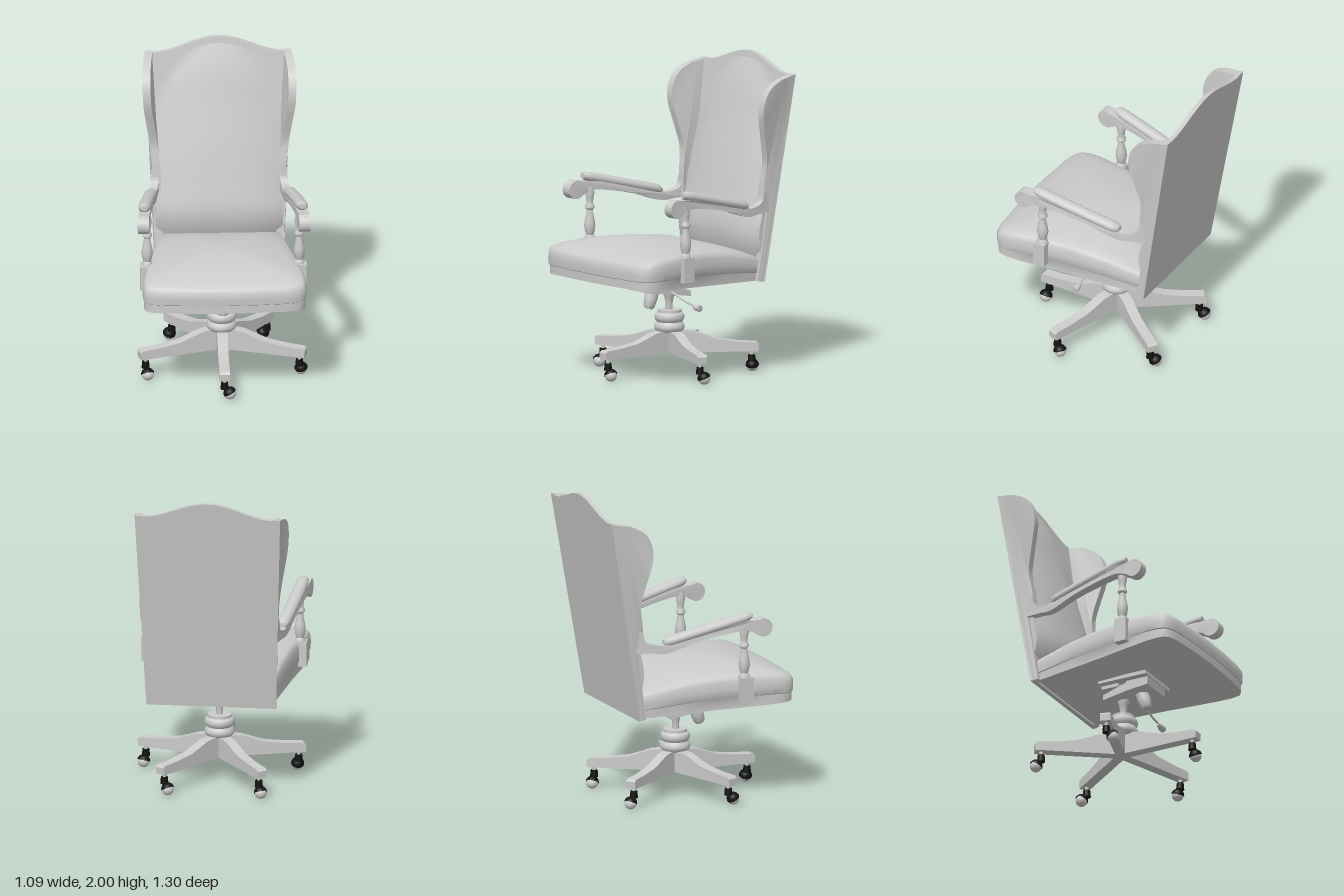
import * as THREE from 'three';
import { toCreasedNormals } from 'three/addons/utils/BufferGeometryUtils.js';

const grey = new THREE.MeshStandardMaterial({ color: 0xcccccc, side: THREE.DoubleSide });
const black = new THREE.MeshStandardMaterial({ color: 0x111111, side: THREE.DoubleSide });
const lerp = THREE.MathUtils.lerp;
const smooth = THREE.MathUtils.smoothstep;

function add(parent, name, geo, mat = grey, x = 0, y = 0, z = 0) {
  const mesh = new THREE.Mesh(geo, mat);
  mesh.name = name;
  mesh.position.set(x, y, z);
  parent.add(mesh);
  return mesh;
}

// Move every vertex by a rule, then rebuild normals
function warp(geo, rule, crease = 0.6) {
  const p = geo.attributes.position, v = new THREE.Vector3();
  for (let i = 0; i < p.count; i++) {
    v.fromBufferAttribute(p, i);
    p.setXYZ(i, ...rule(v));
  }
  return toCreasedNormals(geo, crease);
}

// Skin a list of equally long rows of points
function loft(rows, closed, crease) {
  const n = rows[0].length, idx = [];
  for (let i = 0; i < rows.length - 1; i++) {
    for (let j = 0; j < (closed ? n : n - 1); j++) {
      const k = (j + 1) % n, a = i * n + j, b = i * n + k;
      idx.push(a, b, b + n, a, b + n, a + n);
    }
  }
  const geo = new THREE.BufferGeometry();
  geo.setAttribute('position', new THREE.Float32BufferAttribute(rows.flat(2), 3));
  geo.setIndex(idx);
  return toCreasedNormals(geo, crease);
}

const vecs = pts => pts.map(p => new THREE.Vector2(...p));
const lathe = (pts, n = 24) => toCreasedNormals(new THREE.LatheGeometry(vecs(pts), n), 0.7);
const extrude = (shape, depth) => new THREE.ExtrudeGeometry(shape, { depth, bevelEnabled: false, curveSegments: 20 });

// Shared rules: leaning back plane, arched top, bowed arms
const backZ = y => -0.43 - (y - 0.6) * 0.16;
const archY = x => Math.abs(x) > 0.42 ? 1.9 : 1.9 + 0.05 * (1 + Math.cos(Math.PI * x / 0.42));
const armX = z => 0.467 + 0.125 * z - 0.06 * z * z;

function seatGeometry() {
  const half = [[0, -0.4], [0.2, -0.4], [0.385, -0.4], [0.42, -0.15], [0.455, 0.1], [0.49, 0.3], [0.513, 0.45],
    [0.518, 0.53], [0.507, 0.585], [0.47, 0.615], [0.4, 0.63], [0.2, 0.645], [0, 0.65]];
  const outline = [...half.map(([x, z]) => [-x, z]), ...half.slice(1, -1).reverse()];
  // [plan scale, height fraction]
  const rings = [[0, 0], [0.985, 0], [0.985, 0.33], [0.995, 0.36], [1, 0.6], [0.995, 0.85], [0.97, 0.97],
    [0.94, 1], [0.82, 1], [0.65, 1], [0.45, 1], [0.22, 1], [0, 1]];
  return loft(rings.map(([s, t]) => outline.map(([x, z]) => {
    const pz = 0.13 + (z - 0.13) * s;
    const bottom = 0.6 + 0.045 * (pz + 0.4) / 1.05;
    const top = 0.832 - 0.2 * (pz - 0.25) ** 2 + 0.06 * (1 - s * s);
    return [x * s, lerp(bottom, top, t), pz];
  })), true, 0.7);
}

function backCushionGeometry() {
  const profile = new THREE.SplineCurve(vecs([[0.68, -0.4], [0.8, -0.35], [0.93, -0.335], [1.1, -0.37],
    [1.35, -0.43], [1.6, -0.5], [1.8, -0.555], [1.96, -0.615]]));
  const rows = [];
  for (let i = 0; i <= 24; i++) {
    const c = profile.getPoint(i / 24), f = (c.x - 0.68) / 1.28, row = [];
    const half = 0.4 + 0.02 * f;
    for (let j = -11; j <= 11; j++) {
      const u = Math.max(-1, Math.min(1, j / 10)), x = u * half;
      const y = lerp(0.68, archY(x) - 0.04, f);
      const face = Math.max(c.y - 0.055 * Math.abs(u) ** 3, backZ(y) + 0.03);
      row.push([x, y, Math.abs(j) === 11 ? backZ(y) + 0.01 : face]);
    }
    rows.push(row);
  }
  return loft(rows, false, 0.7);
}

function backPanelGeometry() {
  const pts = [[-0.41, 0.595], [0.41, 0.595]];
  for (let i = 12; i >= -12; i--) pts.push([0.46 * i / 12, archY(0.46 * i / 12)]);
  return warp(extrude(new THREE.Shape(vecs(pts)), 0.03), v => [v.x, v.y, v.z + backZ(v.y)], 0.4);
}

function wingGeometry() {
  const s = new THREE.Shape();
  s.moveTo(backZ(0.595), 0.595);
  s.lineTo(-0.377, 0.6);
  s.lineTo(-0.44, 1.04);
  s.lineTo(-0.395, 1.05);
  s.splineThru(vecs([[-0.4, 1.12], [-0.41, 1.22], [-0.425, 1.35], [-0.4, 1.48], [-0.37, 1.6], [-0.36, 1.68],
    [-0.375, 1.76], [-0.42, 1.83], [-0.5, 1.875], [-0.57, 1.892]]));
  s.lineTo(backZ(1.905), 1.905);
  for (let y = 1.75; y > 0.7; y -= 0.15) s.lineTo(backZ(y), y);
  return warp(extrude(s, 0.05), v => {
    const reach = v.x - backZ(v.y);
    const flare = reach * lerp(-0.12, 0.12, smooth(v.y, 1.1, 1.65));
    return [0.412 + 0.05 * (v.y - 0.6) / 1.3 + flare - v.z, v.y, v.x];
  });
}

function armGeometry() {
  const s = new THREE.Shape();
  s.moveTo(-0.46, 1.04);
  s.splineThru(vecs([[-0.35, 1.035], [-0.25, 1.03], [-0.07, 1.085], [0.12, 1.125], [0.25, 1.14], [0.32, 1.12]]));
  s.absarc(0.38, 1.15, 0.058, -2.4, 1.7, false);
  s.splineThru(vecs([[0.32, 1.2], [0.2, 1.19], [0, 1.145], [-0.25, 1.085], [-0.33, 1.085], [-0.39, 1.11], [-0.41, 1.18]]));
  s.lineTo(-0.46, 1.18);
  return warp(extrude(s, 1), v => {
    const width = lerp(0.05, 0.07, smooth(v.x, -0.4, 0.2));
    return [armX(v.x) + width * (0.5 - v.z), v.y, v.x];
  });
}

function armPadGeometry() {
  const pts = [[0, -0.265], [0.55, -0.265], [0.85, -0.25], [1, -0.22], [1, -0.1], [1, 0.02], [1, 0.14],
    [1, 0.25], [0.9, 0.29], [0.6, 0.31], [0, 0.312]];
  return warp(new THREE.LatheGeometry(vecs(pts), 20),
    v => [armX(v.y) + v.x * 0.04, 1.158 + 0.235 * v.y - v.z * 0.032, v.y], 0.8);
}

// Wing, arm, pad and turned support of one side
function sideGroup(name) {
  const g = new THREE.Group();
  g.name = name;
  add(g, 'wing', wingGeometry());
  add(g, 'arm', armGeometry());
  add(g, 'armPad', armPadGeometry());
  add(g, 'armPost', lathe([[0.034, 0.82], [0.034, 0.84], [0.024, 0.855], [0.03, 0.875], [0.036, 0.91], [0.032, 0.945],
    [0.022, 0.99], [0.02, 1.015], [0.03, 1.025], [0.03, 1.04], [0.021, 1.055], [0.024, 1.09], [0.03, 1.12],
    [0.024, 1.16]], 16), grey, 0.48, 0, 0.27);
  add(g, 'postBlock', new THREE.BoxGeometry(0.085, 0.16, 0.082), grey, 0.482, 0.75, 0.275);
  return g;
}

function tiltMechanism() {
  const g = new THREE.Group();
  g.name = 'tiltMechanism';
  const side = new THREE.Shape(vecs([[0.255, 0.63], [0.248, 0.545], [0.1, 0.53], [-0.07, 0.5], [-0.07, 0.535],
    [0.1, 0.59], [0.1, 0.625]]));
  add(g, 'housing', warp(extrude(side, 0.23), v => [0.115 - v.z, v.y, v.x]));
  add(g, 'mountingPlate', new THREE.BoxGeometry(0.32, 0.025, 0.34), grey, 0, 0.61, 0.09);
  for (const s of [-1, 1]) add(g, 'rearBracket', new THREE.BoxGeometry(0.03, 0.03, 0.12), grey, s * 0.1, 0.59, -0.02);
  const knob = add(g, 'tensionKnob', lathe([[0, -0.06], [0.026, -0.06], [0.036, -0.045], [0.042, 0], [0.042, 0.06]]),
    grey, 0, 0.49, 0.165);
  knob.rotation.x = -0.3;
  const path = new THREE.CatmullRomCurve3([[0.08, 0.55], [0.17, 0.525], [0.27, 0.495], [0.35, 0.485]]
    .map(([x, y]) => new THREE.Vector3(x, y, 0.085)));
  add(g, 'lever', new THREE.TubeGeometry(path, 16, 0.007, 8));
  const grip = add(g, 'leverGrip', lathe([[0, -0.04], [0.01, -0.04], [0.022, 0.005], [0.022, 0.03], [0, 0.035]], 12),
    grey, 0.365, 0.475, 0.085);
  grip.rotation.z = -Math.PI / 2 - 0.15;
  return g;
}

function caster(x, z, dx, dz) {
  const g = new THREE.Group();
  g.name = 'caster';
  add(g, 'stem', new THREE.CylinderGeometry(0.012, 0.012, 0.05, 12), grey, x, 0.125, z);
  add(g, 'swivel', new THREE.CylinderGeometry(0.022, 0.026, 0.045, 14), black, x, 0.095, z);
  add(g, 'wheel', new THREE.SphereGeometry(0.037, 20, 14), grey, x + dx, 0.041, z + dz);
  const hood = add(g, 'hood', new THREE.SphereGeometry(0.042, 20, 8, 0, Math.PI * 2, 0, Math.PI * 0.48),
    black, x + dx, 0.044, z + dz);
  hood.rotation.set(-dz * 14, 0, dx * 14);
  return g;
}

function base() {
  const g = new THREE.Group();
  g.name = 'base';
  const profile = new THREE.Shape(vecs([[0, 0.14], [0.55, 0.14], [0.553, 0.185], [0.54, 0.198], [0.42, 0.205],
    [0.29, 0.222], [0.22, 0.245], [0.15, 0.27], [0.1, 0.277], [0, 0.277]]));
  const legGeo = warp(extrude(profile, 0.066), v => [0.033 - v.z, v.y, v.x], 0.5);
  // Trail direction of each caster
  const trails = [[0.035, 0.005], [0.012, -0.025], [-0.025, -0.025], [-0.015, -0.03], [0.012, 0.04]];
  trails.forEach(([dx, dz], i) => {
    const a = i * Math.PI * 2 / 5;
    add(g, 'leg', legGeo).rotation.y = a;
    g.add(caster(Math.sin(a) * 0.51, Math.cos(a) * 0.51, dx, dz));
  });
  add(g, 'turnedHub', lathe([[0, 0.27], [0.075, 0.27], [0.092, 0.285], [0.097, 0.305], [0.09, 0.322], [0.08, 0.335],
    [0.09, 0.347], [0.096, 0.365], [0.09, 0.385], [0.075, 0.395], [0.075, 0.412], [0, 0.412]], 32), grey, 0, 0, 0.012);
  add(g, 'column', lathe([[0.022, 0.4], [0.022, 0.45], [0.03, 0.49], [0.042, 0.515], [0.042, 0.6]]), grey, 0, 0, 0.015);
  return g;
}

export function createModel() {
  const chair = new THREE.Group();
  chair.name = 'officeChair';
  add(chair, 'seat', seatGeometry());
  add(chair, 'backCushion', backCushionGeometry());
  add(chair, 'backPanel', backPanelGeometry());
  chair.add(sideGroup('leftSide'));
  const right = sideGroup('rightSide');
  right.scale.x = -1;
  chair.add(right, tiltMechanism(), base());
  return chair;
}
